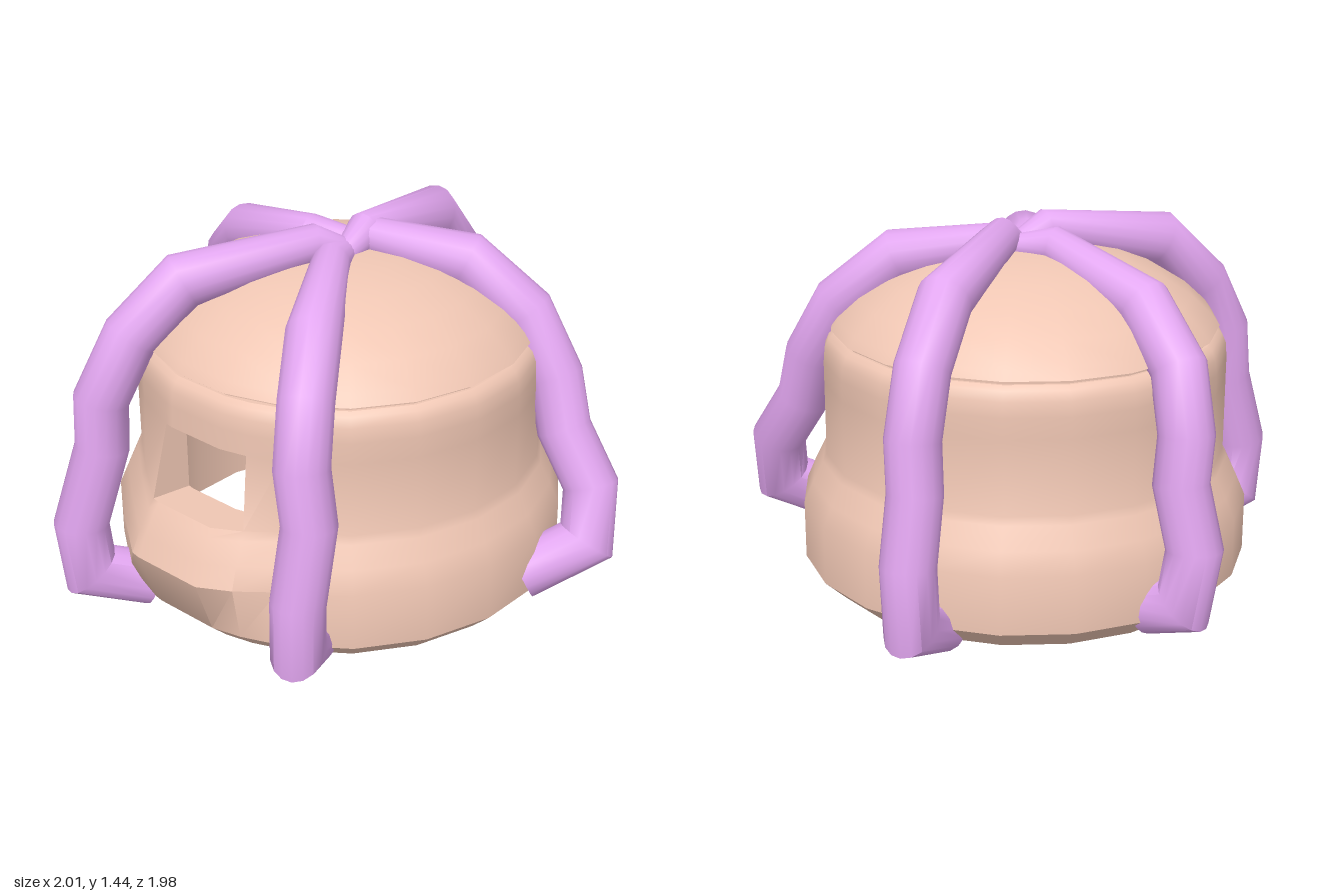
import * as THREE from 'three';
import { toCreasedNormals } from 'three/addons/utils/BufferGeometryUtils.js';

const shellMat = new THREE.MeshStandardMaterial({ color: 0xefc6b3 });
const armMat = new THREE.MeshStandardMaterial({ color: 0xe2a6f0 });

function part(name, geo, material, crease) {
  const mesh = new THREE.Mesh(toCreasedNormals(geo, crease), material);
  mesh.name = name;
  return mesh;
}

// Twenty even columns round the pot, plus one at each side of the window
const STEP = Math.PI / 10, RIGHT = -0.358, LEFT = 0.14;
const columns = [LEFT];
for (let k = 1; k <= 18; k++) columns.push(k * STEP);
columns.push(RIGHT + 2 * Math.PI, 19 * STEP, 20 * STEP);
const WINDOW_COLUMN = 19;

// Wall section: up the outside, down the inside
const section = [
  [0.70, 0.05], [0.76, 0.05], [0.845, 0.13], [0.845, 0.35], [0.81, 0.43], [0.77, 0.51],
  [0.755, 0.54], [0.755, 0.82], [0.755, 0.9], [0.75, 0.955], [0.735, 0.99], [0.715, 1.005],
  [0.65, 1.005], [0.68, 0.82], [0.68, 0.54],
];
const OUT_SILL = 6, OUT_HEAD = 7, IN_HEAD = 13, IN_SILL = 14;

// The outside swells forward below and around the window
function bulge(y, phi) {
  const a = Math.atan2(Math.sin(phi), Math.cos(phi));
  const away = Math.max(0, a, -STEP - 0.05 - a);
  const rise = y < 0.35 ? (y - 0.13) / 0.22 : 1 - Math.max(0, y - 0.5) / 0.34;
  return 0.085 * Math.max(0, 1 - away / STEP) * Math.max(0, rise);
}

function wallGeometry() {
  const corners = [];
  const corner = (i, j) => {
    const phi = columns[i % columns.length];
    const [r0, y] = section[j % section.length];
    const r = r0 + (j > 1 && j < 11 ? bulge(y, phi) : 0);
    return [r * Math.sin(phi), y, r * Math.cos(phi)];
  };
  const quad = (a, b, c, d) => corners.push(...a, ...b, ...c, ...a, ...c, ...d);
  const strip = (i, j, k) => quad(corner(i, j), corner(i + 1, j), corner(i + 1, k), corner(i, k));
  for (let i = 0; i < columns.length; i++) {
    const open = i >= WINDOW_COLUMN;
    for (let j = 0; j < section.length; j++) {
      if (!open || (j !== OUT_SILL && j !== IN_HEAD)) strip(i, j, j + 1);
    }
    if (open) {
      strip(i, OUT_SILL, IN_SILL);
      strip(i, IN_HEAD, OUT_HEAD);
    }
  }
  // Upright sides of the window
  const jamb = (i, order) => quad(...order.map(j => corner(i, j)));
  jamb(WINDOW_COLUMN, [OUT_SILL, IN_SILL, IN_HEAD, OUT_HEAD]);
  jamb(0, [IN_SILL, OUT_SILL, OUT_HEAD, IN_HEAD]);
  const geo = new THREE.BufferGeometry();
  geo.setAttribute('position', new THREE.Float32BufferAttribute(corners, 3));
  return geo;
}

// Straight runs with a mitred ring at every point; the end rings repeat to form caps
class JointedPath extends THREE.Curve {
  constructor(points) {
    super();
    this.points = points.map(p => new THREE.Vector3(...p));
    this.rings = points.length + 1;
  }
  index(u) {
    return THREE.MathUtils.clamp(Math.round(u * this.rings) - 1, 0, this.points.length - 1);
  }
  run(k) {
    const a = THREE.MathUtils.clamp(k, 0, this.points.length - 2);
    return this.points[a + 1].clone().sub(this.points[a]).normalize();
  }
  getPointAt(u) {
    return this.points[this.index(u)].clone();
  }
  getTangentAt(u) {
    const k = this.index(u);
    return this.run(k - 1).add(this.run(k)).normalize();
  }
}

function armGeometry(points) {
  const path = new JointedPath(points);
  const sides = 16;
  const geo = new THREE.TubeGeometry(path, path.rings, 0.1, sides, false);
  const pos = geo.attributes.position;
  const v = new THREE.Vector3();
  for (let i = 0; i <= path.rings; i++) {
    const u = i / path.rings, k = path.index(u);
    const centre = path.getPointAt(u);
    const before = path.run(k - 1), bend = before.clone().sub(path.run(k)).normalize();
    const stretch = Math.min(1.5, 1 / before.dot(path.getTangentAt(u))) - 1;
    const size = i === 0 || i === path.rings ? 0 : [0.45, 0.7][k] ?? 1;
    for (let j = 0; j <= sides; j++) {
      const n = i * (sides + 1) + j;
      v.fromBufferAttribute(pos, n).sub(centre);
      v.addScaledVector(bend, v.dot(bend) * stretch).multiplyScalar(size).add(centre);
      pos.setXYZ(n, v.x, v.y, v.z);
    }
  }
  return geo;
}

export function createModel() {
  const model = new THREE.Group();
  model.name = 'domedPotWithArms';

  // Hollow pot, open below, with a domed lid above a narrow groove
  const pot = new THREE.Group();
  pot.name = 'pot';
  pot.position.set(-0.065, 0, 0.06);
  model.add(pot);
  pot.add(part('wall', wallGeometry(), shellMat, 0.6));
  const lidProfile = [
    [0, 1.25], [0.24, 1.235], [0.46, 1.15], [0.6, 1.06], [0.65, 1.0], [0.705, 1.0], [0.705, 1.015],
    [0.725, 1.02], [0.70, 1.055], [0.62, 1.13], [0.51, 1.2], [0.38, 1.255], [0.24, 1.29], [0.1, 1.305], [0, 1.307],
  ].map(([r, y]) => new THREE.Vector2(r, y));
  pot.add(part('lid', new THREE.LatheGeometry(lidProfile, 20), shellMat, 0.6));

  // Five arms draped from the crown, their feet curling inward
  const arms = {
    frontRightArm: [[-0.03, 1.3, 0.07], [-0.1, 1.345, 0.17], [-0.42, 1.26, 0.53], [-0.55, 1.07, 0.68],
      [-0.61, 0.85, 0.79], [-0.63, 0.65, 0.78], [-0.67, 0.36, 0.88], [-0.66, 0.15, 0.86], [-0.51, 0.07, 0.69]],
    frontLeftArm: [[-0.03, 1.3, 0.07], [-0.02, 1.3, 0.18], [0.15, 1.2, 0.55], [0.23, 1.04, 0.72],
      [0.27, 0.84, 0.81], [0.29, 0.62, 0.8], [0.3, 0.36, 0.89], [0.29, 0.16, 0.88], [0.25, 0.12, 0.74]],
    leftArm: [[-0.08, 1.3, 0.02], [0.01, 1.33, -0.03], [0.35, 1.27, -0.15], [0.56, 1.09, -0.22],
      [0.69, 0.87, -0.22], [0.75, 0.68, -0.19], [0.88, 0.49, -0.17], [0.905, 0.29, -0.11], [0.72, 0.17, 0.05]],
    backArm: [[-0.02, 1.29, 0.1], [-0.01, 1.345, -0.02], [-0.02, 1.25, -0.52], [-0.02, 1.05, -0.7],
      [-0.03, 0.83, -0.8], [-0.03, 0.63, -0.79], [-0.05, 0.4, -0.89], [-0.05, 0.16, -0.87], [-0.07, 0.09, -0.67]],
    rightArm: [[-0.04, 1.31, 0], [-0.19, 1.32, 0.04], [-0.6, 1.19, -0.12], [-0.78, 1.02, -0.25],
      [-0.84, 0.81, -0.32], [-0.83, 0.63, -0.33], [-0.9, 0.41, -0.37], [-0.87, 0.2, -0.38], [-0.72, 0.15, -0.35]],
  };
  for (const [name, points] of Object.entries(arms)) model.add(part(name, armGeometry(points), armMat, 0.8));
  return model;
}
